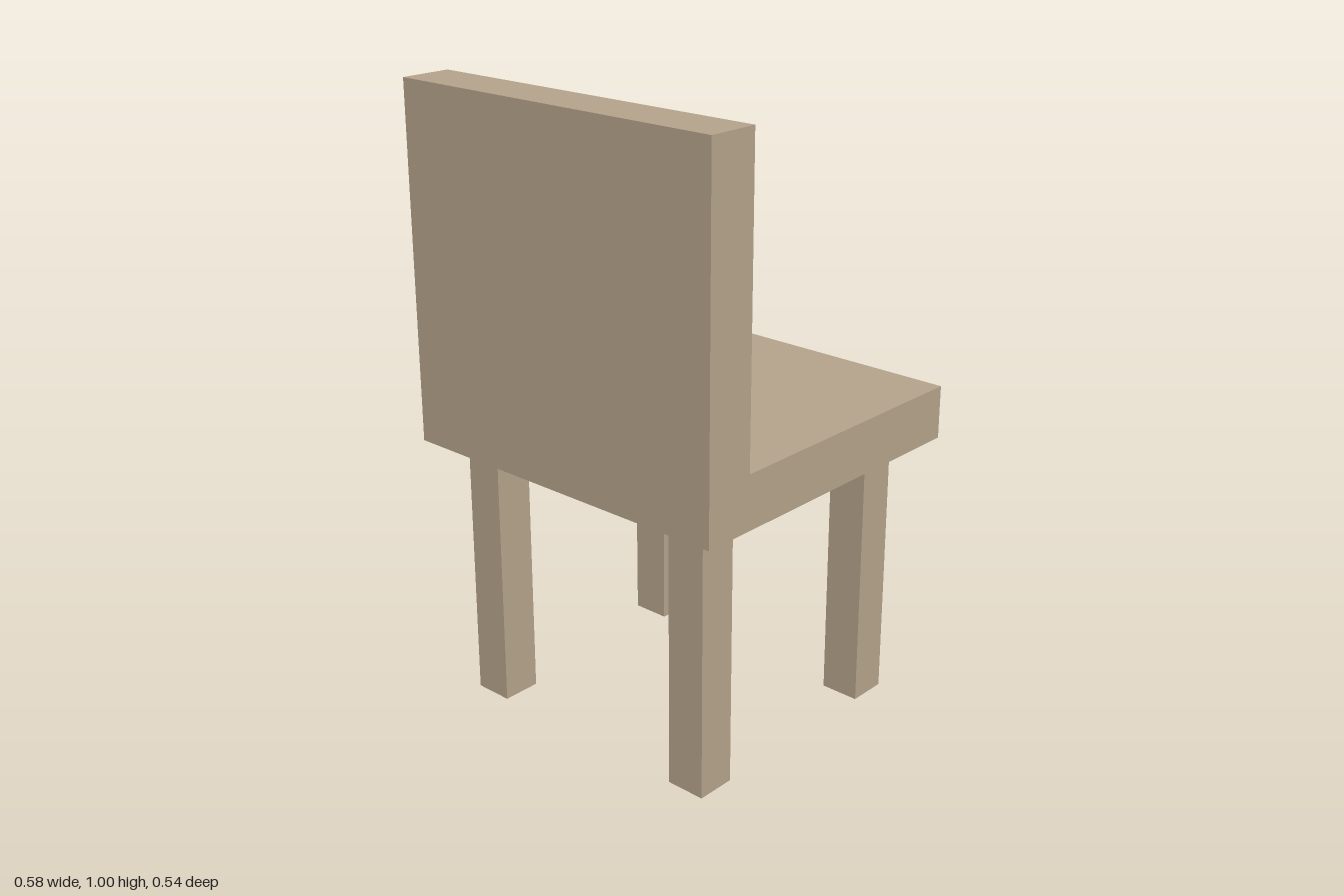
import * as THREE from 'three';

export function createModel() {
  const chair = new THREE.Group();
  chair.name = 'chair';
  const wood = new THREE.MeshStandardMaterial({ color: 0xb5a38b });
  wood.name = 'pale wood';

  // Box given by its minimum and maximum corners
  function addBox(name, [x0, y0, z0], [x1, y1, z1]) {
    const mesh = new THREE.Mesh(new THREE.BoxGeometry(x1 - x0, y1 - y0, z1 - z0), wood);
    mesh.position.set((x0 + x1) / 2, (y0 + y1) / 2, (z0 + z1) / 2);
    mesh.name = name;
    chair.add(mesh);
  }

  const base = 1.005, seatBottom = 1.44, seatTop = 1.525, halfWidth = 0.292;

  // Seat and upright backrest, meeting at z = 0.187
  addBox('seat', [-halfWidth, seatBottom, -0.27], [halfWidth, seatTop, 0.187]);
  addBox('backrest', [-halfWidth, seatBottom, 0.187], [halfWidth, 2, 0.27]);

  // Four square legs
  const legSize = 0.064;
  for (const [side, x] of [['right', -0.243], ['left', 0.175]]) {
    for (const [end, z] of [['Seat', -0.217], ['Backrest', 0.158]]) {
      addBox(`${side}${end}Leg`, [x, base, z], [x + legSize, seatBottom, z + legSize]);
    }
  }
  return chair;
}
